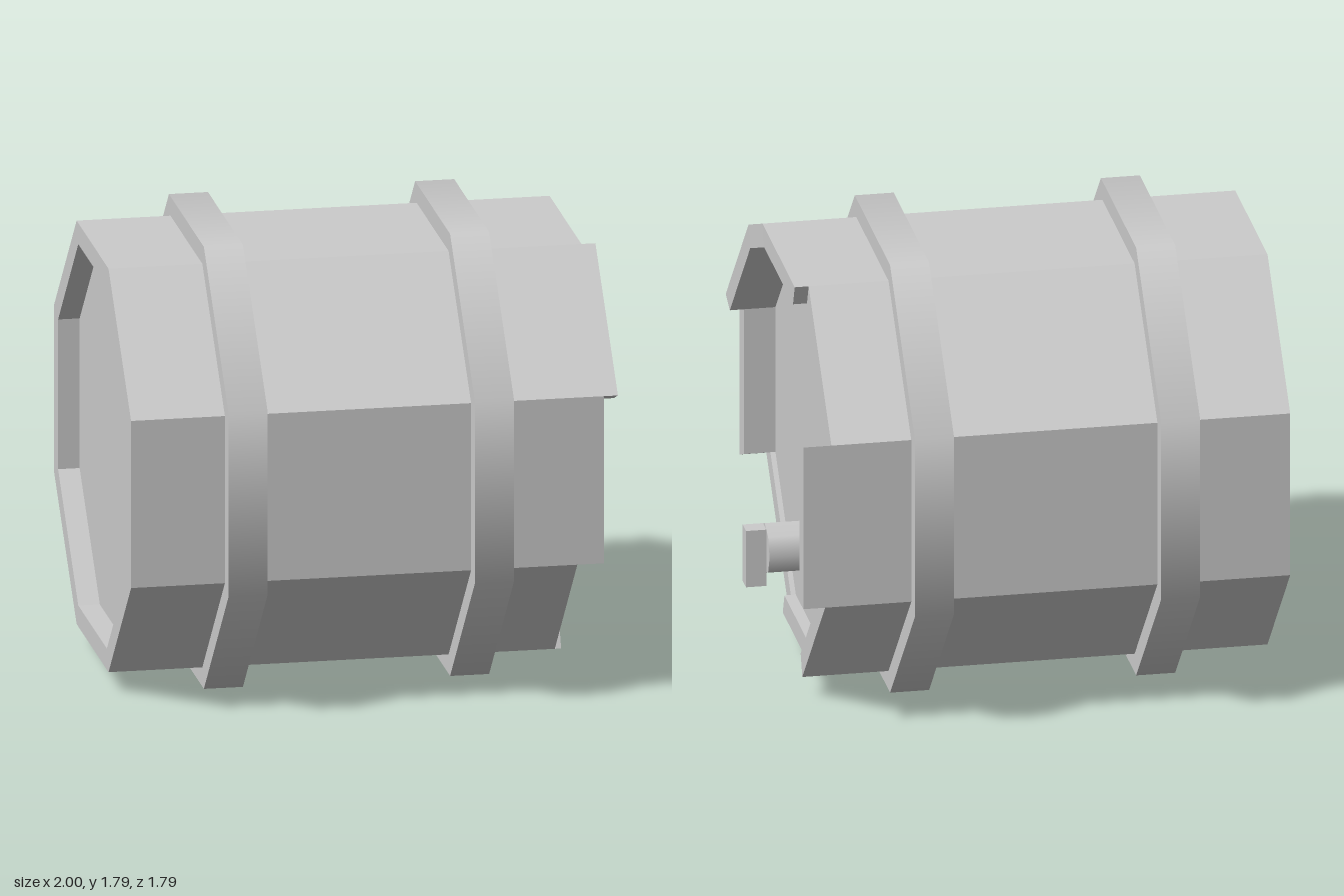
import * as THREE from 'three';

const SIDES = 8;
const HALF = Math.PI / SIDES;
const AXIS_Y = 0.893;            // height of the barrel axis
const OUTER = 0.815;             // stave apothems
const INNER = 0.73;
const HOOP = 0.893;              // hoop apothem
const radius = (apothem) => apothem / Math.cos(HALF);

export function createModel() {
  const group = new THREE.Group();
  group.name = 'barrel';
  const smooth = new THREE.MeshStandardMaterial({ color: 0xcccccc });
  const flat = new THREE.MeshStandardMaterial({ color: 0xcccccc, flatShading: true });

  const add = (name, geometry, material, x = 0, y = AXIS_Y) => {
    const mesh = new THREE.Mesh(geometry, material);
    mesh.name = name;
    mesh.position.set(x, y, 0);
    group.add(mesh);
    return mesh;
  };

  // Staves: trapezoid planks around the axis, unevenly broken at the +x end
  const staveEnds = {
    top: 0.865, upperFront: 0.92, front: 0.865, lowerFront: 0.76,
    bottom: 0.785, lowerBack: 0.835, back: 0.92, upperBack: 0.81,
  };
  const wi = INNER * Math.tan(HALF), wo = OUTER * Math.tan(HALF);
  const section = new THREE.Shape([
    new THREE.Vector2(-wi, INNER), new THREE.Vector2(wi, INNER),
    new THREE.Vector2(wo, OUTER), new THREE.Vector2(-wo, OUTER),
  ]);
  Object.entries(staveEnds).forEach(([side, end], i) => {
    const plank = new THREE.ExtrudeGeometry(section, { depth: end + 1, bevelEnabled: false });
    plank.rotateY(Math.PI / 2);
    plank.rotateX(i * 2 * HALF);
    add(side + 'Stave', plank, flat, -1);
  });

  // Recessed octagonal heads closing both ends
  for (const [name, x] of [['leftHead', 0.72], ['rightHead', -0.895]]) {
    const head = new THREE.CylinderGeometry(radius(INNER), radius(INNER), 0.04, SIDES, 1, false, HALF);
    add(name, head.rotateZ(-Math.PI / 2), flat, x);
  }

  // Hoops: smooth-shaded outer band with flat rings on both edges
  const hoopWidth = 0.154;
  for (const [name, x] of [['leftHoop', 0.418], ['rightHoop', -0.553]]) {
    const band = new THREE.CylinderGeometry(radius(HOOP), radius(HOOP), hoopWidth, SIDES, 1, true, HALF);
    add(name + 'Band', band.rotateZ(-Math.PI / 2), smooth, x);
    for (const s of [-1, 1]) {
      const ring = new THREE.RingGeometry(radius(OUTER), radius(HOOP), SIDES, 1, HALF);
      add(name + 'Edge', ring.rotateY(s * Math.PI / 2), smooth, x + s * hoopWidth / 2);
    }
  }

  // Tap: short spout with a flat handle on its end
  const spout = new THREE.CylinderGeometry(0.104, 0.104, 0.19, 8);
  add('tapSpout', spout.rotateZ(-Math.PI / 2), smooth, 0.825, 0.49);
  add('tapHandle', new THREE.BoxGeometry(0.08, 0.235, 0.07), flat, 0.96, 0.463);

  return group;
}
